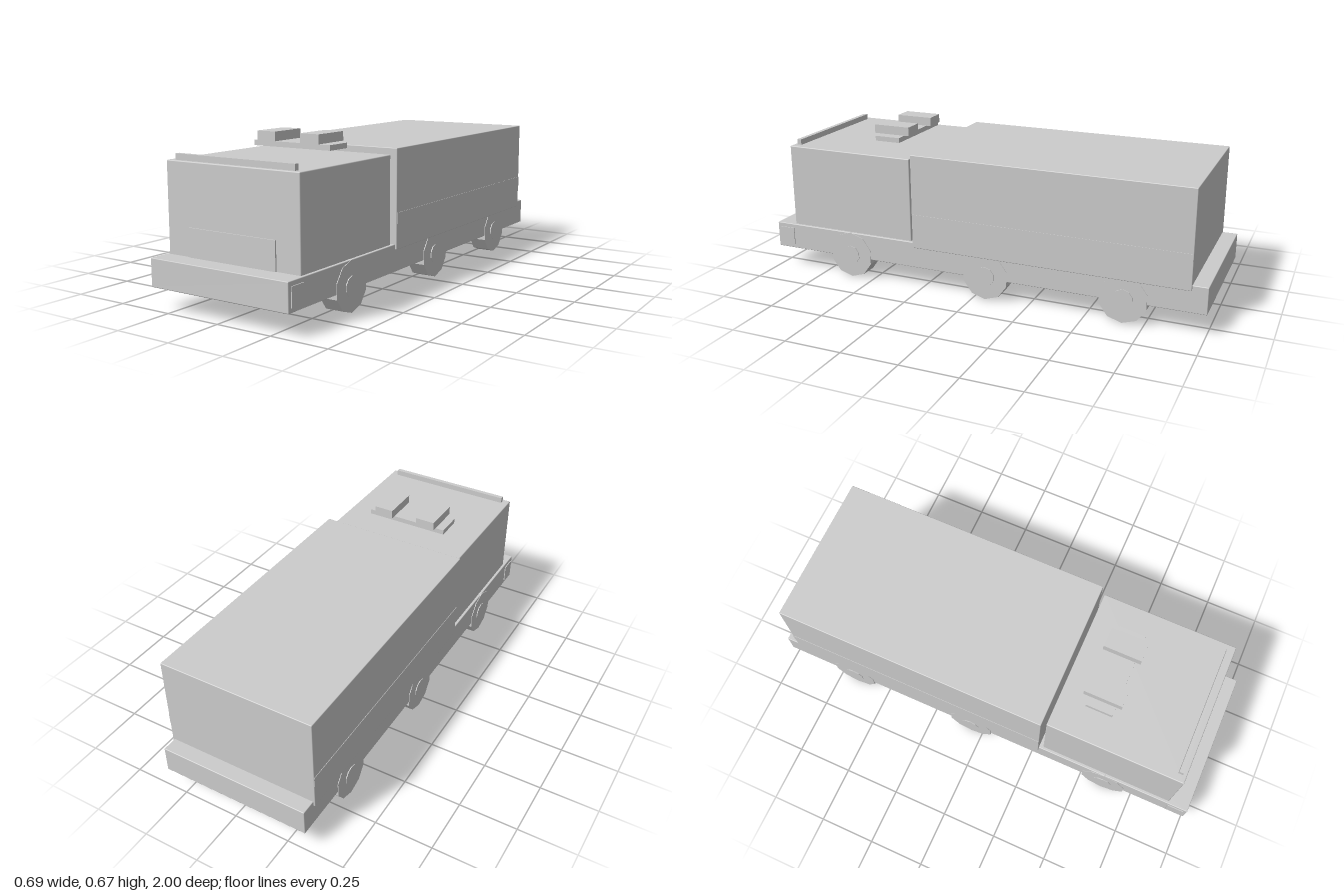
import * as THREE from 'three';
import { RoundedBoxGeometry } from 'three/addons/geometries/RoundedBoxGeometry.js';

const bodyGrey = new THREE.MeshStandardMaterial({ color: 0xcccccc });
bodyGrey.name = 'bodyGrey';

export function createModel() {
  const model = new THREE.Group();
  model.name = 'truck';

  // Box between two corners, with an optional softened edge
  function box(name, [x0, x1], [y0, y1], [z0, z1], bevel = 0) {
    const size = [x1 - x0, y1 - y0, z1 - z0];
    const geometry = bevel
      ? new RoundedBoxGeometry(...size, 2, bevel)
      : new THREE.BoxGeometry(...size);
    const mesh = new THREE.Mesh(geometry, bodyGrey);
    mesh.name = name;
    mesh.position.set((x0 + x1) / 2, (y0 + y1) / 2, (z0 + z1) / 2);
    model.add(mesh);
  }

  // Faceted disc across x; a flat edge of the ten-sided tyre rests on the ground
  function disc(name, radius, x0, x1, z, sides) {
    const geometry = new THREE.CylinderGeometry(radius, radius, x1 - x0, sides).toNonIndexed();
    geometry.rotateZ(Math.PI / 2);
    geometry.rotateX(Math.PI / 2);
    geometry.computeVertexNormals();
    const mesh = new THREE.Mesh(geometry, bodyGrey);
    mesh.name = name;
    mesh.position.set((x0 + x1) / 2, 0.1, z);
    model.add(mesh);
  }

  // Main volumes
  box('chassis', [-0.333, 0.333], [0.088, 0.204], [-1, 1], 0.003);
  box('cab', [-0.321, 0.321], [0.2, 0.575], [0.305, 0.91], 0.004);
  box('cargoBody', [-0.341, 0.341], [0.182, 0.601], [-0.935, 0.288], 0.003);

  // Cab details
  box('grillePanel', [-0.211, 0.211], [0.203, 0.321], [0.905, 0.916]);
  box('roofVisor', [-0.288, 0.288], [0.574, 0.6], [0.873, 0.893]);
  box('lightBarBase', [-0.19, 0.19], [0.605, 0.627], [0.423, 0.541]);

  for (const side of [-1, 1]) {
    const span = (a, b) => (side > 0 ? [a, b] : [-b, -a]);
    const prefix = side > 0 ? 'left' : 'right';

    box(prefix + 'RoofLight', span(0.062, 0.152), [0.63, 0.669], [0.395, 0.565]);
    box(prefix + 'SideStripe', span(0.338, 0.3428), [0.29, 0.336], [-0.933, 0.286]);
    box(prefix + 'SideMarker', span(0.33, 0.337), [0.107, 0.185], [0.912, 0.985]);

    // Wheels and hubs
    for (const z of [0.608, -0.054, -0.66]) {
      disc(prefix + 'Wheel', 0.105, ...span(0.257, 0.3355), z, 10);
      disc(prefix + 'Hub', 0.043, ...span(0.33, 0.339), z, 10);
    }
  }
  return model;
}
